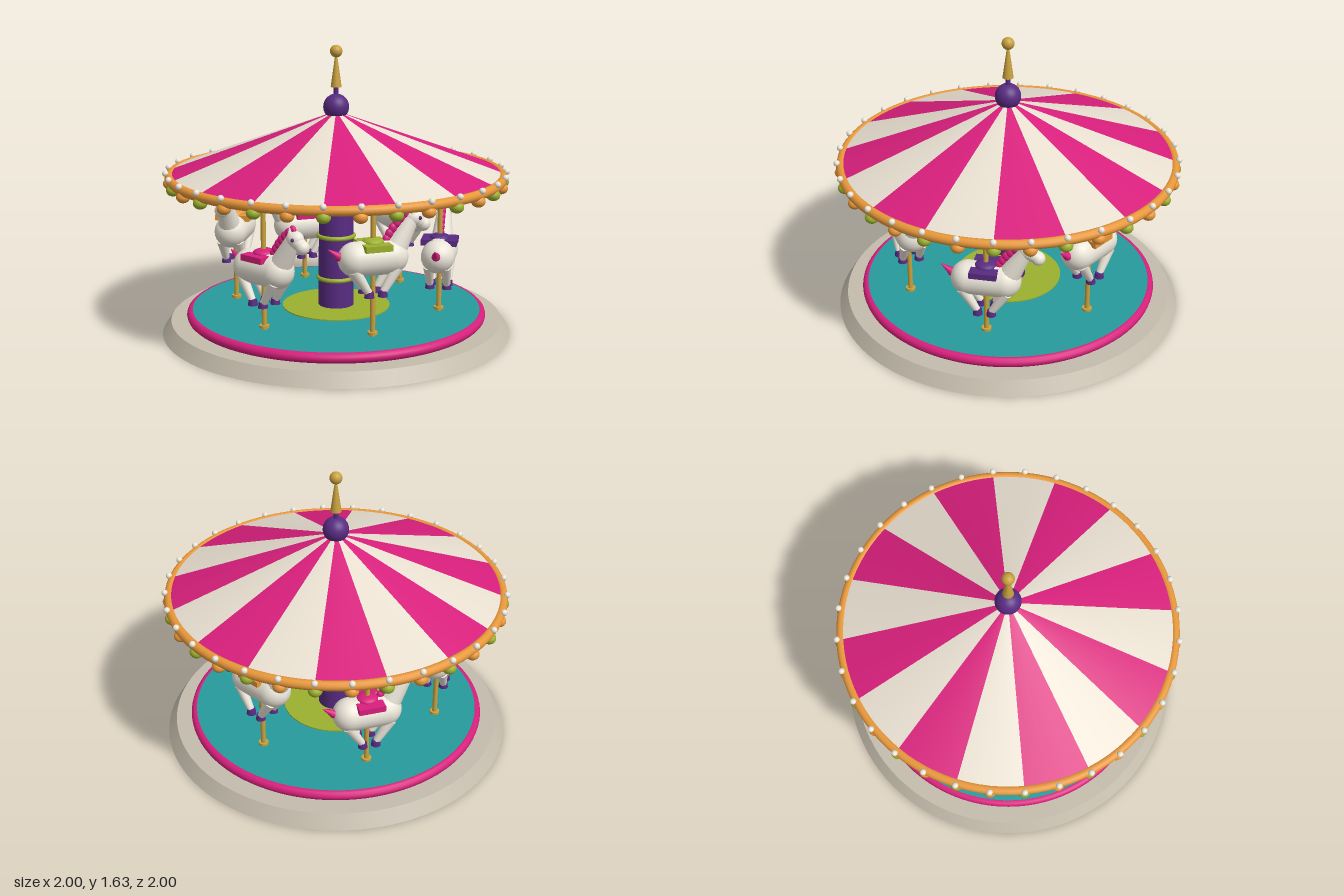
import * as THREE from 'three';

const mat = (color, side = THREE.FrontSide) => new THREE.MeshStandardMaterial({ color, side });
const M = {
  stone: mat(0xc4bcac), cream: mat(0xebe5d8), pink: mat(0xd81f7c), purple: mat(0x582b82),
  teal: mat(0x269a9c), lime: mat(0x9bb02e), orange: mat(0xe8983a), gold: mat(0xc9a23e),
  pinkCloth: mat(0xd81f7c, THREE.DoubleSide), creamCloth: mat(0xe8dfd0, THREE.DoubleSide),
};
const DEG = Math.PI / 180;

function add(parent, name, geometry, material, x = 0, y = 0, z = 0) {
  const mesh = new THREE.Mesh(geometry, material);
  mesh.name = name;
  mesh.position.set(x, y, z);
  parent.add(mesh);
  return mesh;
}

const cyl = (top, bottom, height, sides = 24) => new THREE.CylinderGeometry(top, bottom, height, sides);
const ball = (r, w = 20, h = 14) => new THREE.SphereGeometry(r, w, h);

function ring(parent, name, radius, tube, y, material) {
  const mesh = add(parent, name, new THREE.TorusGeometry(radius, tube, 12, 96), material, 0, y, 0);
  mesh.rotation.x = Math.PI / 2;
  return mesh;
}

// Tapered round limb between two points
function limb(parent, name, from, to, r0, r1, material) {
  const a = new THREE.Vector3(...from), b = new THREE.Vector3(...to);
  const dir = b.clone().sub(a);
  const mesh = add(parent, name, cyl(r1, r0, dir.length(), 14), material);
  mesh.position.copy(a).add(b).multiplyScalar(0.5);
  mesh.quaternion.setFromUnitVectors(new THREE.Vector3(0, 1, 0), dir.normalize());
  return mesh;
}

// Horse facing +x, origin at the middle of the body
function createHorse(saddleMaterial) {
  const horse = new THREE.Group();
  horse.name = 'horse';

  const body = add(horse, 'body', new THREE.CapsuleGeometry(0.094, 0.2, 10, 24), M.cream);
  body.rotation.z = Math.PI / 2;

  // Neck and head
  limb(horse, 'neck', [0.12, 0.03, 0], [0.222, 0.205, 0], 0.066, 0.038, M.cream);
  const head = add(horse, 'head', ball(0.046), M.cream, 0.232, 0.2, 0);
  head.scale.set(1.15, 1, 0.95);
  limb(horse, 'snout', [0.235, 0.195, 0], [0.285, 0.165, 0], 0.04, 0.034, M.cream);
  add(horse, 'muzzle', ball(0.038), M.cream, 0.285, 0.163, 0);
  for (const s of [-1, 1]) {
    add(horse, 'eye', ball(0.01, 10, 8), M.purple, 0.25, 0.206, s * 0.041);
    add(horse, 'ear', new THREE.ConeGeometry(0.014, 0.045, 10), M.cream, 0.215, 0.25, s * 0.022);
  }

  // Mane along the back of the neck
  const maneLine = new THREE.QuadraticBezierCurve3(
    new THREE.Vector3(0.075, 0.095, 0), new THREE.Vector3(0.12, 0.19, 0), new THREE.Vector3(0.215, 0.245, 0));
  for (let i = 0; i < 7; i++) {
    const p = maneLine.getPoint(i / 6);
    const tuft = add(horse, 'maneTuft', ball(0.025, 14, 10), M.pink, p.x, p.y, p.z);
    tuft.scale.set(0.95, 1.1, 0.7);
  }

  // Legs gathered toward the pole
  for (const f of [-1, 1]) {
    for (const s of [-1, 1]) {
      limb(horse, 'leg', [f * 0.12, -0.05, s * 0.048], [f * 0.042, -0.175, s * 0.048], 0.032, 0.02, M.cream);
      add(horse, 'hoof', cyl(0.023, 0.027, 0.032, 16), M.purple, f * 0.038, -0.186, s * 0.048);
    }
  }

  // Tail
  add(horse, 'tailRoot', ball(0.024, 14, 10), M.pink, -0.19, 0.022, 0);
  limb(horse, 'tail', [-0.185, 0.02, 0], [-0.25, 0.065, 0], 0.025, 0.002, M.pink);

  // Saddle blanket and seat
  add(horse, 'saddleBlanket', new THREE.BoxGeometry(0.15, 0.034, 0.2), saddleMaterial, 0, 0.07, 0);
  const seat = add(horse, 'saddleSeat', ball(0.06), saddleMaterial, 0, 0.088, 0);
  seat.scale.set(1, 0.4, 0.95);
  return horse;
}

function createPlatform() {
  const g = new THREE.Group();
  g.name = 'platform';
  add(g, 'base', cyl(0.95, 1, 0.075, 96), M.stone, 0, 0.0375, 0);
  add(g, 'floor', cyl(0.83, 0.83, 0.06, 96), M.teal, 0, 0.102, 0);
  ring(g, 'floorTrim', 0.831, 0.029, 0.104, M.pink);
  add(g, 'centerMat', cyl(0.31, 0.31, 0.008, 64), M.lime, 0, 0.134, 0);
  return g;
}

function createColumn() {
  const g = new THREE.Group();
  g.name = 'column';
  add(g, 'columnShaft', cyl(0.098, 0.102, 0.83, 40), M.purple, 0, 0.54, 0);
  for (const y of [0.3, 0.547, 0.797]) ring(g, 'columnBand', 0.101, 0.013, y, M.lime);
  return g;
}

function createRoof() {
  const g = new THREE.Group();
  g.name = 'roof';

  // Striped canopy, open underneath
  const step = 22.5 * DEG;
  for (let i = 0; i < 16; i++) {
    add(g, 'canopyStripe', new THREE.ConeGeometry(0.945, 0.345, 6, 1, true, (i - 0.5) * step, step),
      i % 2 ? M.creamCloth : M.pinkCloth, 0, 1.0925, 0);
  }

  // Rim with pearls above and baubles below
  ring(g, 'rim', 0.938, 0.027, 0.905, M.orange);
  for (let i = 0; i < 32; i++) {
    const a = i * 11.25 * DEG, s = Math.sin(a), c = Math.cos(a);
    add(g, 'pearl', ball(0.018, 12, 10), M.cream, 0.96 * s, 0.93, 0.96 * c);
    const bauble = add(g, 'bauble', ball(0.038, 16, 12), i % 2 ? M.lime : M.orange, 0.937 * s, 0.872, 0.937 * c);
    bauble.scale.y = 0.85;
  }
  g.rotation.y = 1.35 * DEG;
  return g;
}

function createFinial() {
  const g = new THREE.Group();
  g.name = 'finial';
  add(g, 'crownBall', ball(0.073, 32, 20), M.purple, 0, 1.289, 0);
  add(g, 'finialStem', cyl(0.014, 0.014, 0.08, 16), M.purple, 0, 1.365, 0);
  add(g, 'finialSpike', cyl(0.007, 0.031, 0.17, 24), M.gold, 0, 1.485, 0);
  add(g, 'finialBall', ball(0.035, 24, 16), M.gold, 0, 1.6, 0);
  return g;
}

// Six horses on poles, alternately high and low
function createRide() {
  const g = new THREE.Group();
  g.name = 'ride';
  const saddles = [M.orange, M.purple, M.lime, M.pink, M.orange, M.pink];
  saddles.forEach((saddle, i) => {
    const a = (i * 60 + 2) * DEG;
    const mount = new THREE.Group();
    mount.name = 'mount';
    mount.position.set(0.596 * Math.cos(a), 0, 0.596 * Math.sin(a));
    mount.rotation.y = Math.PI / 2 - a;
    add(mount, 'pole', cyl(0.014, 0.014, 0.81, 16), M.gold, 0, 0.53, 0);
    add(mount, 'poleFoot', cyl(0.028, 0.028, 0.014, 20), M.gold, 0, 0.15, 0);
    const horse = createHorse(saddle);
    horse.position.y = i % 2 ? 0.475 : 0.565;
    mount.add(horse);
    g.add(mount);
  });
  return g;
}

export function createModel() {
  const model = new THREE.Group();
  model.name = 'carousel';
  model.add(createPlatform(), createColumn(), createRide(), createRoof(), createFinial());
  return model;
}
